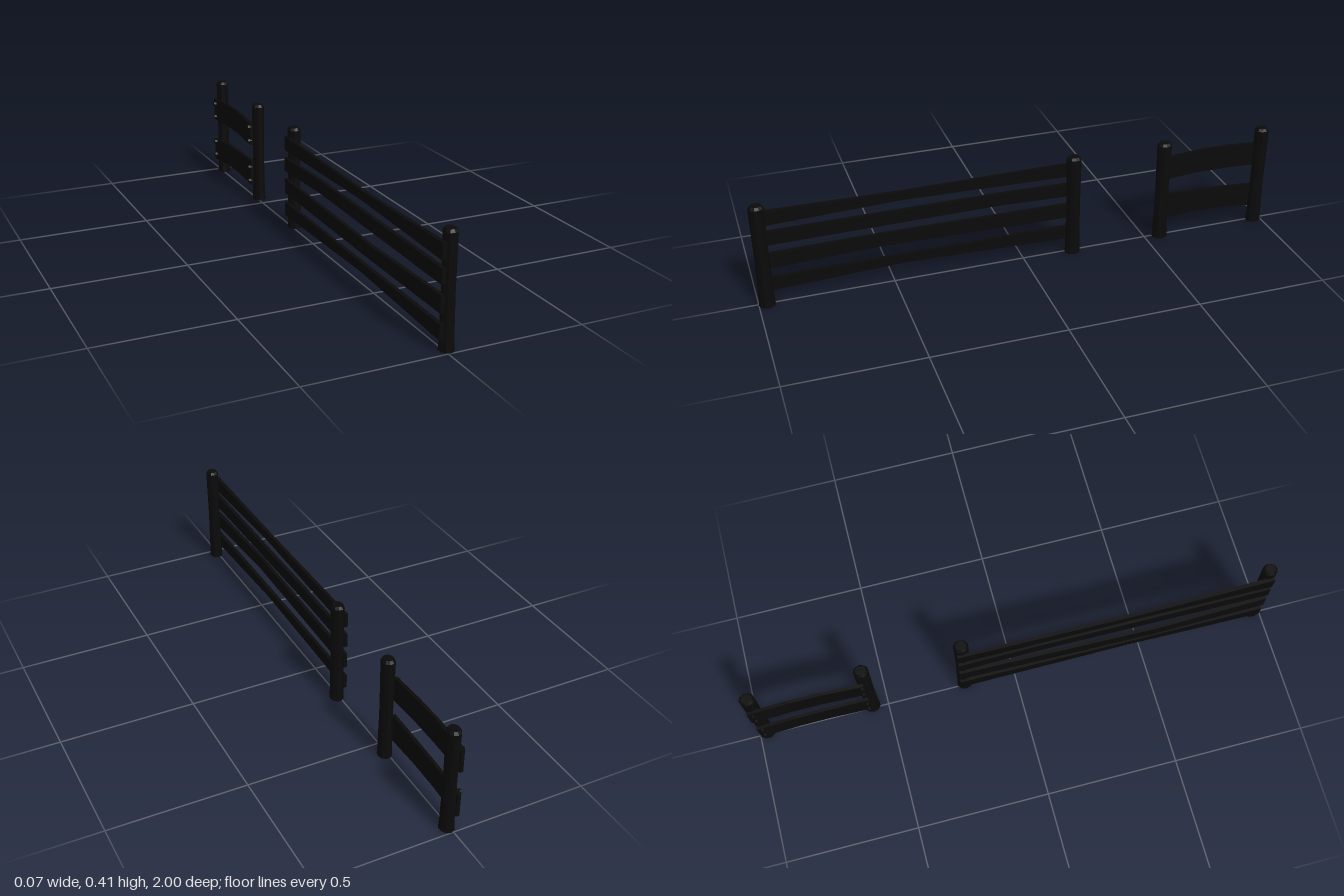
import * as THREE from 'three';

const wood = new THREE.MeshStandardMaterial({ color: 0x0a0a0a, flatShading: true });

// Round post with a worn waist and a chamfered top
function post(z, turn) {
  const profile = [[0, 0], [0.026, 0], [0.0245, 0.03], [0.0225, 0.2], [0.0245, 0.397], [0.018, 0.407], [0, 0.407]];
  const geo = new THREE.LatheGeometry(profile.map(([r, y]) => new THREE.Vector2(r, y)), 10);
  geo.rotateY(turn);
  geo.scale(1, 1, 1.15);
  const mesh = new THREE.Mesh(geo, wood);
  mesh.position.set(0.009, 0, z);
  mesh.name = 'post';
  return mesh;
}

// Board lofted through stations [z, bottom, top, outer x, inner x]
function board(name, stations) {
  const n = stations.length - 1;
  const geo = new THREE.BoxGeometry(1, 1, 1, 1, 1, n);
  const p = geo.attributes.position;
  for (let i = 0; i < p.count; i++) {
    const [z, bottom, top, outer, inner] = stations[Math.round((p.getZ(i) + 0.5) * n)];
    p.setXYZ(i, p.getX(i) < 0 ? outer : inner, p.getY(i) < 0 ? bottom : top, z);
  }
  geo.computeVertexNormals();
  const mesh = new THREE.Mesh(geo, wood);
  mesh.name = name;
  return mesh;
}

export function createModel() {
  const model = new THREE.Group();
  model.name = 'fence';

  // Long section: four thin rails, narrower at a bend near the middle
  const long = new THREE.Group();
  long.name = 'longSection';
  long.add(post(0.97, 0), post(-0.195, 0.3));
  // [back bottom, back top, bend z, bend bottom, bend top, front bottom, front top, bend outer x]
  const rails = [
    [0.048, 0.102, 0.45, 0.064, 0.099, 0.043, 0.097, -0.025],
    [0.139, 0.198, 0.55, 0.143, 0.194, 0.134, 0.195, -0.035],
    [0.230, 0.284, 0.10, 0.240, 0.289, 0.230, 0.284, -0.022],
    [0.314, 0.369, 0.45, 0.326, 0.360, 0.309, 0.367, -0.026],
  ];
  for (const [b0, t0, z, b1, t1, b2, t2, x] of rails) {
    long.add(board('rail', [
      [-0.215, b0, t0, -0.022, -0.010],
      [z, b1, t1, x, x + 0.014],
      [0.985, b2, t2, -0.025, -0.010],
    ]));
  }
  model.add(long);

  // Short section: two wide arched boards, nailed to the posts
  const short = new THREE.Group();
  short.name = 'shortSection';
  short.add(post(-0.56, 0.3), post(-0.97, 0));
  short.add(board('upperBoard', [
    [-0.99, 0.236, 0.328, -0.024, -0.011],
    [-0.84, 0.244, 0.339, -0.022, -0.010],
    [-0.72, 0.244, 0.338, -0.022, -0.010],
    [-0.565, 0.234, 0.325, -0.024, -0.011],
  ]));
  short.add(board('lowerBoard', [
    [-0.99, 0.053, 0.147, -0.024, -0.011],
    [-0.84, 0.068, 0.160, -0.022, -0.010],
    [-0.72, 0.071, 0.165, -0.022, -0.010],
    [-0.565, 0.063, 0.167, -0.024, -0.011],
  ]));
  const nailGeo = new THREE.CylinderGeometry(0.009, 0.009, 0.016, 6).rotateZ(Math.PI / 2);
  for (const z of [-0.97, -0.572]) {
    for (const y of [0.08, 0.138, 0.252, 0.31]) {
      const nail = new THREE.Mesh(nailGeo, wood);
      nail.position.set(-0.026, y, z);
      nail.name = 'nail';
      short.add(nail);
    }
  }
  model.add(short);
  return model;
}
